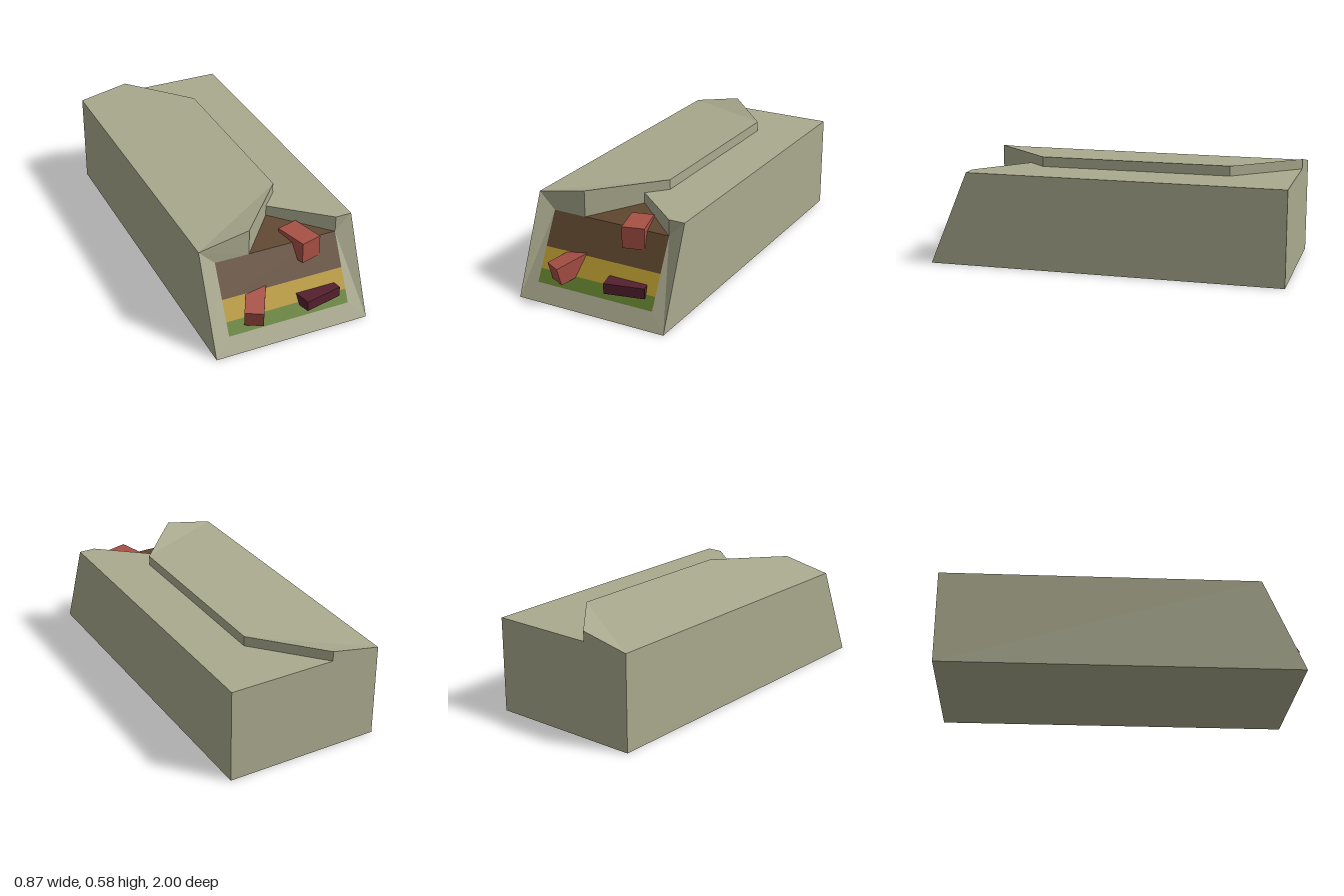
import * as THREE from 'three';

// Flat-shaded mesh from convex polygons, each a counter-clockwise list of points
function faceMesh(name, material, polygons) {
  const pos = [];
  for (const p of polygons) {
    for (let i = 1; i < p.length - 1; i++) pos.push(...p[0], ...p[i], ...p[i + 1]);
  }
  const g = new THREE.BufferGeometry();
  g.setAttribute('position', new THREE.Float32BufferAttribute(pos, 3));
  g.computeVertexNormals();
  const mesh = new THREE.Mesh(g, material);
  mesh.name = name;
  return mesh;
}

function block(name, material, size, position) {
  const mesh = new THREE.Mesh(new THREE.BoxGeometry(...size), material);
  mesh.name = name;
  mesh.position.set(...position);
  return mesh;
}

export function createModel() {
  const mat = (name, color, side = THREE.FrontSide) => {
    const m = new THREE.MeshStandardMaterial({ color, side });
    m.name = name;
    return m;
  };
  const paper = mat('wrapper paper', 0xaaaa8f, THREE.DoubleSide);
  const brown = mat('brown filling', 0x604730, THREE.DoubleSide);
  const yellow = mat('yellow filling', 0xb8992f, THREE.DoubleSide);
  const green = mat('green filling', 0x648130, THREE.DoubleSide);
  const red = mat('red chunk', 0xa85045);
  const maroon = mat('maroon chunk', 0x55202e);

  const group = new THREE.Group();
  group.name = 'wrappedRoll';

  const W = 0.435, H = 0.525, T = 0.58, back = -1, zBot = 0.98, zTop = 0.76;
  const w = 0.345, y0 = 0.09, y1 = 0.435, apexY = 0.467;
  const fillZ = (y) => 0.935 - (y - y0) * 0.513; // slanted filling face

  // Flap edge in plan, as [x, z]
  const B = [-0.155, zTop], P = [0.06, 0.515], C = [0.155, 0.41], D = [0.155, -0.65], E = [-0.155, back];
  const R = [w, zTop];
  const at = ([x, z], y) => [x, y, z];
  const wall = (a, b, ya, yb, top) => [at(a, ya), at(b, yb), at(b, top), at(a, top)];

  // Closed sides of the wrapper
  group.add(faceMesh('wrapperSides', paper, [
    [[W, 0, zBot], [W, 0, back], [W, H, back], [W, H, zTop]],
    [[-W, 0, back], [-W, 0, zBot], [-W, H, zTop], [-W, H, back]],
    [[-W, 0, zBot], [-W, 0, back], [W, 0, back], [W, 0, zBot]],
    [at(E, H), [W, H, back], [W, 0, back], [-W, 0, back], [-W, H, back], at(E, T)],
  ]));

  // Flat top with the notch edge
  group.add(faceMesh('wrapperTop', paper, [
    [[W, H, back], at(E, H), at(D, H), at(C, H)],
    [at(C, H), at(P, H), at(R, H), [W, H, zTop], [W, H, back]],
    wall(P, R, apexY, y1, H),
  ]));

  // Overlapping flap rising from the right-hand edge
  const A = [-W, H, zTop], F = [-W, H, back];
  group.add(faceMesh('wrapperFlap', paper, [
    [A, at(B, T), at(C, T)],
    [A, at(C, T), at(D, T), F],
    [F, at(D, T), at(E, T)],
    wall(B, P, y1, apexY, T),
    wall(P, C, H, H, T),
    wall(C, D, H, H, T),
    wall(D, E, H, H, T),
  ]));

  // Rim dipping inward to the filling
  const inner = (x, y) => [x, y, fillZ(y)];
  group.add(faceMesh('wrapperRim', paper, [
    [[-W, 0, zBot], [W, 0, zBot], inner(w, y0), inner(-w, y0)],
    [[-W, 0, zBot], inner(-w, y0), inner(-w, y1), A],
    [[W, 0, zBot], [W, H, zTop], inner(w, y1), inner(w, y0)],
    [A, inner(-w, y1), at(B, y1), at(B, T)],
    [inner(w, y1), [W, H, zTop], at(R, H)],
  ]));

  // Filling bands, then the filling seen through the notch
  const bands = [['greenBand', green, y0, 0.157], ['yellowBand', yellow, 0.157, 0.262], ['brownBand', brown, 0.262, y1]];
  for (const [name, m, a, b] of bands) {
    group.add(faceMesh(name, m, [[inner(-w, a), inner(w, a), inner(w, b), inner(-w, b)]]));
  }
  group.add(faceMesh('brownTop', brown, [[inner(B[0], y1), inner(w, y1), at(P, apexY)]]));

  // Chunks poking out of the filling
  const upper = block('upperRedChunk', red, [0.12, 0.117, 0.19], [0.148, 0.4085, 0.73]);
  upper.rotation.y = 0.264;
  const maroonChunk = block('maroonChunk', maroon, [0.218, 0.057, 0.1], [0.179, 0.1715, 0.9]);
  maroonChunk.rotation.y = 0.217;
  const lower = block('lowerRedChunk', red, [0.1, 0.1, 0.2], [-0.173, 0.204, 0.878]);
  const z = new THREE.Vector3(-0.46, -0.26, 0.85).normalize();
  const x = new THREE.Vector3(-0.12, 0.97, 0.25).cross(z).normalize();
  const y = z.clone().cross(x);
  lower.quaternion.setFromRotationMatrix(new THREE.Matrix4().makeBasis(x, y, z));
  group.add(upper, maroonChunk, lower);

  return group;
}
